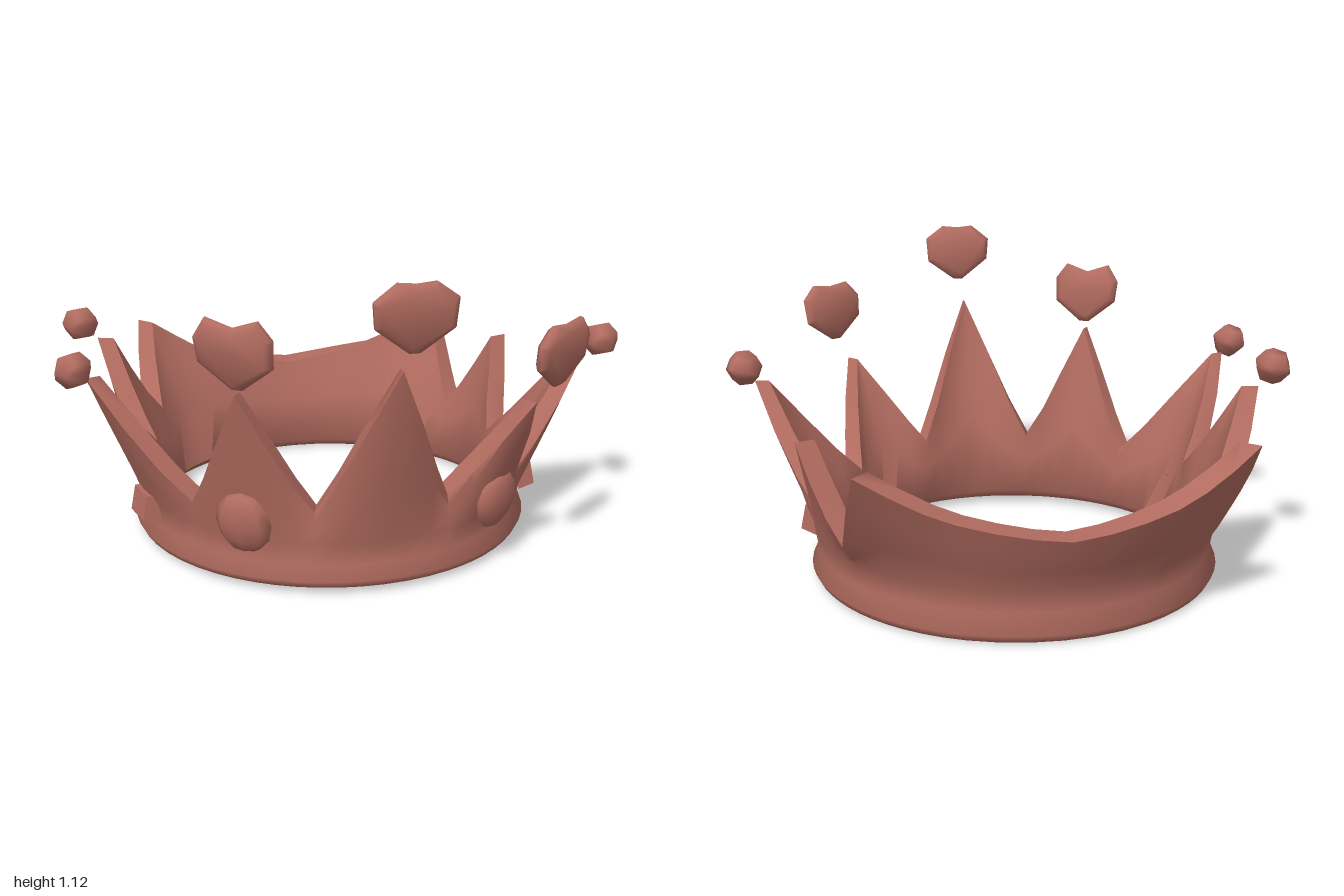
import * as THREE from 'three';
import { toCreasedNormals } from 'three/addons/utils/BufferGeometryUtils.js';

const CZ = -0.1; // the ring's centre lies slightly behind the origin
const clay = new THREE.MeshStandardMaterial({ color: 0xb26c60 });
clay.name = 'terracotta';

// Rim points [x, y, z], peaks and valleys in turn, counterclockwise from the front
const RIM = [
  [0.02, 0.82, 0.79], [0.25, 0.3, 0.56],
  [0.52, 0.63, 0.64], [0.57, 0.26, 0.34],
  [0.9, 0.66, 0.18], [0.71, 0.25, -0.13],
  [0.79, 0.57, -0.35], [0.66, 0.26, -0.52],
  [0.65, 0.58, -0.81], [0.35, 0.43, -0.86], [0.0, 0.37, -0.92], [-0.35, 0.43, -0.87],
  [-0.64, 0.6, -0.81], [-0.66, 0.32, -0.54],
  [-0.83, 0.67, -0.33], [-0.72, 0.33, -0.1],
  [-0.9, 0.68, 0.19], [-0.58, 0.27, 0.35],
  [-0.47, 0.72, 0.61], [-0.21, 0.29, 0.58],
];

// Closed cross-section of the band at one angle, outside upwards then inside downwards
function section(angle, topR, topY) {
  const low = 0.01 + 0.01 * Math.cos(angle);
  const peak = Math.max(0, (topY - 0.25) / 0.55);
  const thick = 0.075 - 0.04 * peak * peak + 0.025 * Math.max(0, -Math.cos(angle));
  const inner = Math.max(0.645, topR - thick);
  const pts = [[0.68, low], [0.72, low + 0.005], [0.733, low + 0.03], [0.708, 0.1], [0.722, 0.18]];
  for (const t of [0.35, 0.7, 1]) {
    pts.push([0.722 + (topR - 0.722) * Math.pow(t, 0.9), 0.18 + (topY - 0.18) * t]);
  }
  for (const t of [1, 0.7, 0.35]) {
    pts.push([0.645 + (inner - 0.645) * t, 0.12 + (topY - 0.12) * t]);
  }
  pts.push([0.642, low + 0.035]);
  return pts;
}

// Blend along the rim that sags slightly below a straight line from valley to peak
function sag(from, to, t, power) {
  return to > from
    ? from + (to - from) * Math.pow(t, power)
    : to + (from - to) * Math.pow(1 - t, power);
}

function bandGeometry() {
  const polar = RIM.map(([x, y, z]) => ({ a: Math.atan2(x, z - CZ), r: Math.hypot(x, z - CZ), y }));
  const pos = [], index = [], STEPS = 3;
  let rows = 0, cols = 0;
  polar.forEach((p, k) => {
    const q = polar[(k + 1) % polar.length];
    const span = (q.a - p.a + Math.PI * 4) % (Math.PI * 2);
    for (let s = 0; s < STEPS; s++) {
      const t = s / STEPS, a = p.a + span * t;
      const ring = section(a, sag(p.r, q.r, t, 1.15), sag(p.y, q.y, t, 1.25));
      rows = ring.length;
      for (const [r, y] of ring) pos.push(r * Math.sin(a), y, CZ + r * Math.cos(a));
      cols++;
    }
  });
  for (let i = 0; i < cols; i++) {
    for (let j = 0; j < rows; j++) {
      const i2 = (i + 1) % cols, j2 = (j + 1) % rows;
      const a = i * rows + j, b = i2 * rows + j, c = i2 * rows + j2, d = i * rows + j2;
      index.push(a, b, c, a, c, d);
    }
  }
  const g = new THREE.BufferGeometry();
  g.setAttribute('position', new THREE.Float32BufferAttribute(pos, 3));
  g.setIndex(index);
  return toCreasedNormals(g, 1.1);
}

// Chunky heart plate with a faceted bevel, centred on its own origin
function heartGeometry(w, h, notch, shoulder) {
  const outline = [
    [-0.04, -0.5], [0.06, -0.5], [0.48, -0.13], [0.5, 0.28], [shoulder, 0.5], [0, 0.5 - notch],
    [-shoulder, 0.5], [-0.5, 0.25], [-0.47, -0.1],
  ].map(([x, y]) => new THREE.Vector2(x * (w - 0.04), y * (h - 0.04)));
  const g = new THREE.ExtrudeGeometry(new THREE.Shape(outline), {
    depth: 0.012, bevelThickness: 0.018, bevelSize: 0.02, bevelSegments: 1,
  });
  g.center();
  return toCreasedNormals(g, 0.9);
}

export function createModel() {
  const crown = new THREE.Group();
  crown.name = 'crown';
  const add = (name, geometry, x, y, z, yaw = 0, tilt = 0) => {
    const m = new THREE.Mesh(geometry, clay);
    m.name = name;
    m.position.set(x, y, z);
    m.rotation.set(tilt, yaw, 0, 'YXZ');
    crown.add(m);
    return m;
  };

  add('spikedBand', bandGeometry(), 0, 0, 0);

  // Hearts floating above the three front spikes
  add('frontHeart', heartGeometry(0.26, 0.22, 0.03, 0.25), 0.025, 1.01, 0.88, 0, 0.13);
  add('rightHeart', heartGeometry(0.26, 0.23, 0.14, 0.36), -0.47, 0.86, 0.63, -0.57, 0.15);
  add('leftHeart', heartGeometry(0.27, 0.22, 0.05, 0.32), 0.57, 0.81, 0.7, 0.61, 0.15);

  // Beads on the side spikes
  const bead = toCreasedNormals(new THREE.DodecahedronGeometry(0.066), 1.2);
  add('leftBead', bead, 0.935, 0.7, 0.22, 0.3, 0.2);
  add('rightBead', bead, -0.94, 0.72, 0.22, 0.8, 0.2);
  add('rearBead', bead, -0.89, 0.735, -0.31, 0.5, 0.3);

  // Rounded stones on the front faces, small square ones on the sides
  const stone = new THREE.SphereGeometry(1, 8, 6);
  const square = new THREE.CylinderGeometry(0.075, 0.09, 0.06, 4, 1);
  square.rotateY(Math.PI / 4).rotateX(Math.PI / 2);
  const squareGem = toCreasedNormals(square, 0.5);
  for (const side of [1, -1]) {
    const a = side * 0.61, b = side * 1.31;
    add('frontStone', stone, 0.76 * Math.sin(a), 0.255, CZ + 0.76 * Math.cos(a), a, 0.15)
      .scale.set(0.1, 0.11, 0.045);
    add('sideStone', squareGem, 0.735 * Math.sin(b), 0.17, CZ + 0.735 * Math.cos(b), b, -0.2)
      .scale.set(1.15, 0.85, 1);
  }
  return crown;
}
